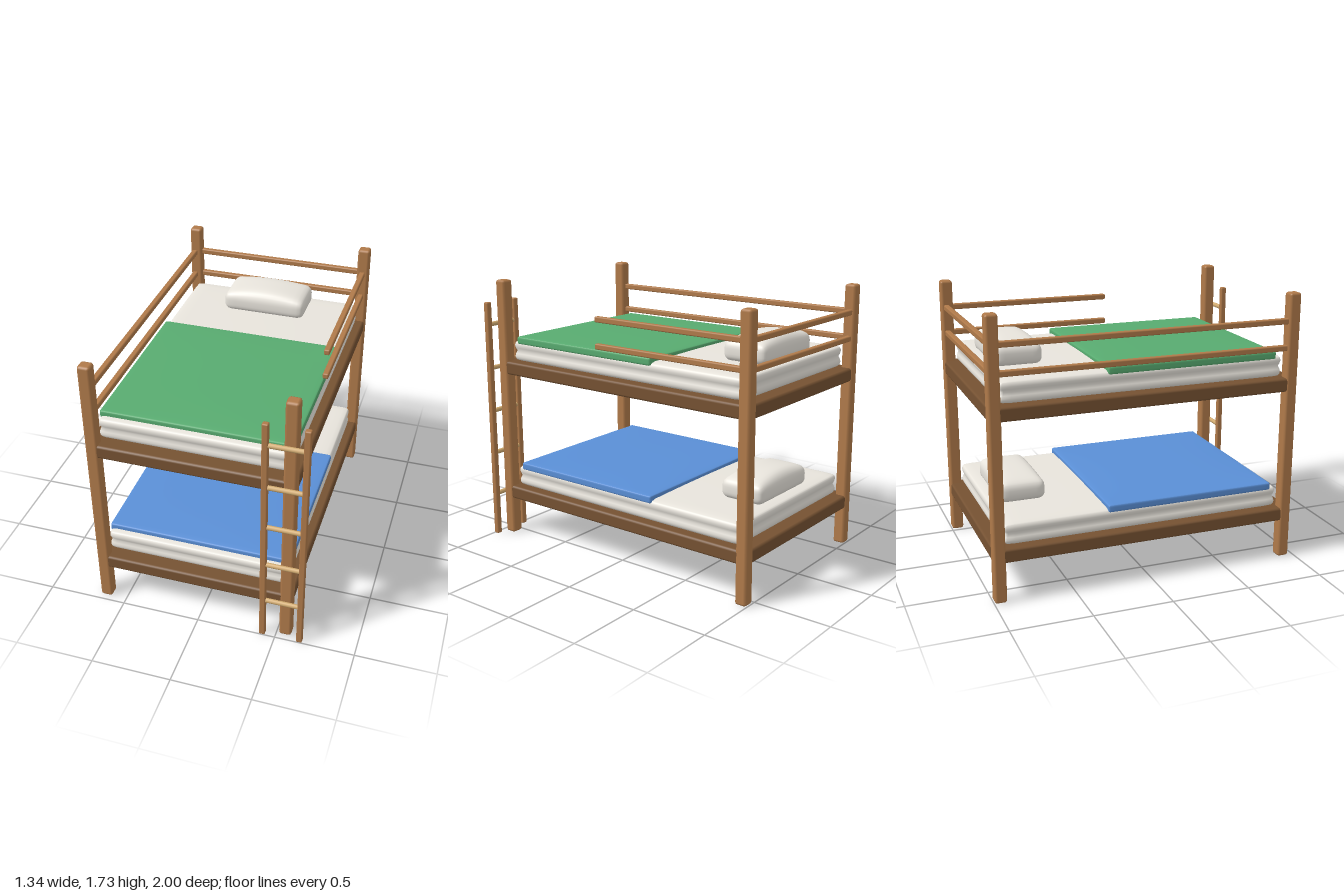
import * as THREE from 'three';
import { RoundedBoxGeometry } from 'three/addons/geometries/RoundedBoxGeometry.js';
import { mergeVertices } from 'three/addons/utils/BufferGeometryUtils.js';

const paint = (color) => new THREE.MeshStandardMaterial({ color });
const wood = paint(0xb07a4a);
const darkWood = paint(0x765232);
const paleWood = paint(0xd2ab70);
const linen = paint(0xe8e4dc);
const green = paint(0x58ab70);
const blue = paint(0x5a8fd6);

function add(parent, name, geometry, material, x, y, z) {
  const mesh = new THREE.Mesh(geometry, material);
  mesh.name = name;
  mesh.position.set(x, y, z);
  parent.add(mesh);
  return mesh;
}

// Chamfered timber given by its minimum and maximum corners
function timber(parent, name, material, [x0, y0, z0], [x1, y1, z1], chamfer) {
  const geometry = new RoundedBoxGeometry(x1 - x0, y1 - y0, z1 - z0, 1, chamfer);
  return add(parent, name, geometry, material, (x0 + x1) / 2, (y0 + y1) / 2, (z0 + z1) / 2);
}

// Rounded cushion: soft edges, a domed top and an optional seam pressed into its sides
function cushion(w, h, d, r, dome, seam = 0) {
  let geometry = new THREE.BoxGeometry(2, 2, 2, 16, 12, 16);
  geometry.deleteAttribute('uv');
  geometry.deleteAttribute('normal');
  geometry = mergeVertices(geometry);
  const half = new THREE.Vector3(w / 2, h / 2, d / 2);
  const inner = half.clone().subScalar(r);
  const p = new THREE.Vector3();
  const core = new THREE.Vector3();
  const pos = geometry.attributes.position;
  const ease = (t) => Math.sin(t * Math.PI / 2);
  for (let i = 0; i < pos.count; i++) {
    p.fromBufferAttribute(pos, i);
    p.set(ease(p.x), ease(p.y), ease(p.z)).multiply(half);
    core.copy(p).clamp(inner.clone().negate(), inner);
    p.sub(core).setLength(r).add(core);
    const u = p.x / half.x, v = p.y / half.y, t = p.z / half.z;
    if (v > 0) p.y += v * dome * (1 - u * u) * (1 - t ** 4);
    const press = seam * Math.exp(-((v / 0.25) ** 2));
    p.x -= u ** 9 * press;
    p.z -= t ** 9 * press;
    pos.setXYZ(i, p.x, p.y, p.z);
  }
  geometry.computeVertexNormals();
  return geometry;
}

export function createModel() {
  const model = new THREE.Group();
  model.name = 'bunkBed';

  // Corner posts
  for (const x of [-0.633, 0.555])
    for (const z of [-0.959, 0.927])
      timber(model, 'cornerPost', wood,
        [x - 0.039, 0, z - 0.038], [x + 0.039, 1.73, z + 0.038], 0.016);

  // Two bunks: base, mattress, blanket and pillow
  const bunks = [['lowerBunk', 0.25, blue], ['upperBunk', 1.111, green]];
  for (const [name, y, cover] of bunks) {
    const bunk = new THREE.Group();
    bunk.name = name;
    bunk.position.y = y;
    timber(bunk, 'bedBase', darkWood, [-0.668, 0, -0.993], [0.59, 0.087, 0.961], 0.015);
    add(bunk, 'mattress', cushion(1.16, 0.138, 1.8, 0.035, 0.008, 0.012), linen, -0.04, 0.156, -0.018);
    add(bunk, 'blanket', cushion(1.166, 0.05, 1.102, 0.012, 0.012), cover, -0.038, 0.229, 0.286);
    add(bunk, 'pillow', cushion(0.55, 0.125, 0.3, 0.045, 0.036), linen, -0.04, 0.288, -0.714);
    model.add(bunk);
  }

  // Guard rails around the upper bunk, open at the ladder
  const s = 0.018;
  for (const y of [1.388, 1.555]) {
    timber(model, 'backRail', wood, [-0.63, y - s, -0.965 - s], [0.55, y + s, -0.965 + s], 0.008);
    timber(model, 'rightRail', wood, [-0.641 - s, y - s, -0.95], [-0.641 + s, y + s, 0.92], 0.008);
    timber(model, 'shortLeftRail', wood, [0.554 - s, y - s, -0.95], [0.554 + s, y + s, 0.14], 0.008);
  }

  // Ladder
  const ladder = new THREE.Group();
  ladder.name = 'ladder';
  for (const x of [0.417, 0.653])
    timber(ladder, 'ladderRail', wood, [x - 0.019, 0, 0.964], [x + 0.019, 1.59, 1], 0.008);
  for (let i = 0; i < 5; i++) {
    const rung = new THREE.CylinderGeometry(0.015, 0.015, 0.22, 12).rotateZ(Math.PI / 2);
    add(ladder, 'rung', rung, paleWood, 0.535, 0.284 + i * 0.29, 0.982);
  }
  model.add(ladder);

  return model;
}
